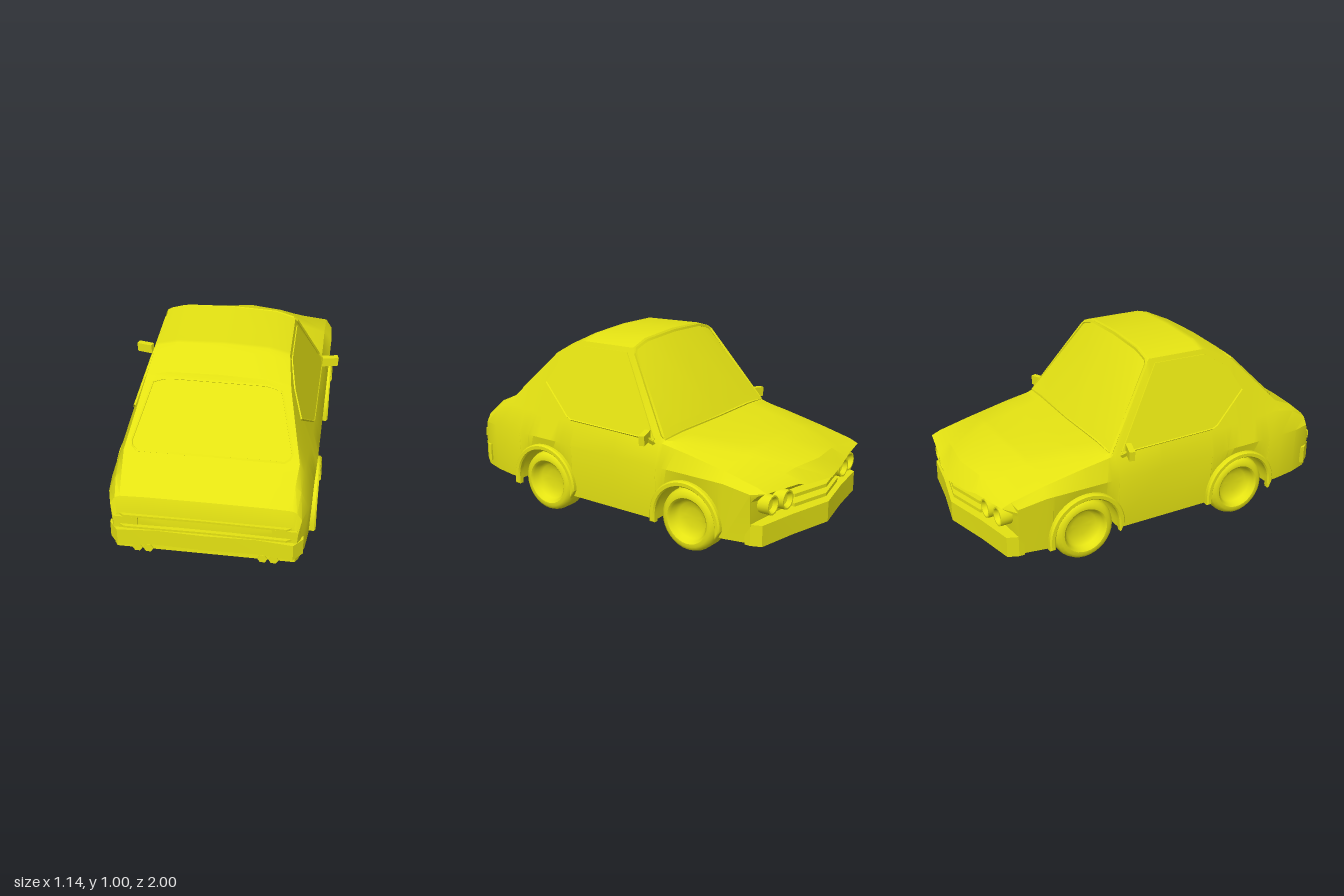
import * as THREE from 'three';
import { toCreasedNormals } from 'three/addons/utils/BufferGeometryUtils.js';

const V = (x, y, z) => new THREE.Vector3(x, y, z);

export function createModel() {
  const car = new THREE.Group();
  car.name = 'car';
  const paint = new THREE.MeshStandardMaterial({ color: 0xe4e212, side: THREE.DoubleSide });
  paint.name = 'yellow paint';
  const add = (name, geo, crease = 0.5) => {
    const mesh = new THREE.Mesh(toCreasedNormals(geo, crease), paint);
    mesh.name = name;
    car.add(mesh);
    return mesh;
  };

  const wheelZ = [0.48, -0.458], archR = 0.19, archY = 0.17;

  // Body stations: z, floor y, waist x, belt x, belt y, roof edge x, roof edge y, centre y, nose point
  const rows = [
    [0.975, 0.165, 0.455, 0.435, 0.38, 0.42, 0.39, 0.395, 0],
    [0.95, 0.163, 0.47, 0.445, 0.46, 0.42, 0.472, 0.478, 0],
    [0.86, 0.158, 0.495, 0.455, 0.52, 0.425, 0.55, 0.56, 0],
    [0.75, 0.15, 0.505, 0.46, 0.55, 0.435, 0.6, 0.61, 0],
    [0.5, 0.14, 0.51, 0.472, 0.54, 0.362, 0.865, 0.88, 0],
    [0.485, 0.14, 0.51, 0.473, 0.54, 0.36, 0.875, 0.905, 0],
    [0.33, 0.13, 0.51, 0.475, 0.54, 0.338, 0.95, 0.985, 0],
    [0, 0.13, 0.51, 0.475, 0.54, 0.335, 0.96, 1.003, 0],
    [-0.02, 0.13, 0.51, 0.475, 0.54, 0.338, 0.935, 0.978, 0],
    [-0.295, 0.13, 0.51, 0.472, 0.535, 0.455, 0.55, 0.562, 0.01],
    [-0.45, 0.13, 0.51, 0.47, 0.51, 0.38, 0.54, 0.55, 0.01],
    [-0.68, 0.13, 0.51, 0.465, 0.465, 0.31, 0.51, 0.53, 0.02],
    [-0.85, 0.14, 0.5, 0.465, 0.425, 0.26, 0.445, 0.46, 0.07],
    [-0.9, 0.14, 0.495, 0.465, 0.405, 0.25, 0.4, 0.375, 0.1],
  ];
  const lipReturn = [-0.85, 0.14, 0.49, 0.45, 0.385, 0.25, 0.375, 0.36, 0.06];

  const rowAt = (z) => {
    let i = 0;
    while (i < rows.length - 2 && rows[i + 1][0] > z) i++;
    const t = (z - rows[i][0]) / (rows[i + 1][0] - rows[i][0]);
    return rows[i].map((v, k) => v + (rows[i + 1][k] - v) * t);
  };

  // One closed cross-section, with the wheel wells notched into its lower corners
  const section = ([z, floor, w, bx, by, ex, ey, top, nose]) => {
    let sill = floor;
    for (const c of wheelZ) {
      const d = archR ** 2 - (z - c) ** 2;
      if (d > -1e-9) sill = archY + Math.sqrt(Math.max(d, 0));
    }
    const half = [
      [0, floor], [0.33, floor], [0.33, sill], [w - 0.012, sill], [w, Math.min(0.42, by - 0.03)],
      [bx, by], [ex, ey], [ex * 0.7, ey + (top - ey) * 0.75], [0, top],
    ].map(([x, y], j) => V(x, y, j < 5 ? Math.max(z, -0.83) : z - nose * (1 - x / 0.47)));
    const mirrored = half.slice(1, -1).reverse().map((p) => V(-p.x, p.y, p.z));
    return [...half, ...mirrored];
  };

  const zs = rows.map((r) => r[0]);
  for (const c of wheelZ) {
    zs.push(c + archR + 0.001, c - archR - 0.001);
    for (let k = 0; k <= 14; k++) zs.push(c + archR * Math.cos((k / 14) * Math.PI));
  }
  zs.sort((a, b) => b - a);
  const rings = zs.map((z) => section(rowAt(z)));
  rings.push(section(lipReturn));

  // Skin the sections and close both ends
  const pos = [];
  const tri = (...ps) => ps.forEach((p) => pos.push(p.x, p.y, p.z));
  const n = rings[0].length, last = rings[rings.length - 1];
  const rearMid = V(0, 0.28, 0.965), frontMid = V(0, 0.28, -0.86);
  for (let j = 0; j < n; j++) {
    const k = (j + 1) % n;
    for (let i = 0; i < rings.length - 1; i++) {
      const a = rings[i][j], b = rings[i][k], c = rings[i + 1][k], d = rings[i + 1][j];
      tri(a, d, c);
      tri(a, c, b);
    }
    tri(rearMid, rings[0][j], rings[0][k]);
    tri(frontMid, last[k], last[j]);
  }
  const bodyGeo = new THREE.BufferGeometry();
  bodyGeo.setAttribute('position', new THREE.Float32BufferAttribute(pos, 3));
  add('body', bodyGeo, 0.45);

  // Symmetric bar from a half outline in plan (x, z), spanning y0 to y1
  const planBar = (name, outer, back, y0, y1) => {
    const pts = [
      ...outer.map(([x, z]) => [-x, z]).reverse(), ...outer.slice(outer[0][0] === 0 ? 1 : 0),
      [outer[outer.length - 1][0], back], [-outer[outer.length - 1][0], back],
    ].map(([x, z]) => new THREE.Vector2(x, -z));
    const g = new THREE.ExtrudeGeometry(new THREE.Shape(pts), { depth: y1 - y0, bevelEnabled: false });
    g.rotateX(-Math.PI / 2).translate(0, y0, 0);
    return add(name, g, 0.3);
  };
  planBar('frontBumper', [[0, -0.985], [0.25, -0.925], [0.47, -0.885], [0.492, -0.83]], -0.8, 0.13, 0.24);
  planBar('rearBumper', [[0, 0.985], [0.25, 0.978], [0.435, 0.995], [0.48, 0.94]], 0.92, 0.195, 0.29);
  for (const y of [0.265, 0.315]) {
    planBar('grilleBar', [[0, -0.97], [0.22, -0.915]], -0.82, y, y + 0.018);
  }
  for (const y of [0.303, 0.375]) {
    planBar('rearTrim', [[0, 0.985], [0.4, 0.99], [0.452, 0.955]], 0.93, y, y + 0.012);
  }

  // Flat plate whose outline (u, v) and thickness are placed by a rule
  const plate = (name, outline, place) => {
    const g = new THREE.ExtrudeGeometry(
      new THREE.Shape(outline.map((p) => new THREE.Vector2(...p))), { depth: 0.007, bevelEnabled: false });
    const p = g.attributes.position;
    for (let i = 0; i < p.count; i++) p.setXYZ(i, ...place(p.getX(i), p.getY(i), p.getZ(i)));
    return add(name, g, 0.3);
  };
  const trim = (name, points, r, closed = false) => {
    const curve = new THREE.CatmullRomCurve3(points, closed, 'catmullrom', 0);
    return add(name, new THREE.TubeGeometry(curve, points.length * 8, r, 4, closed), 0.3);
  };

  // Rear window
  const rearOutline = [[-0.37, 0.605], [0.37, 0.605], [0.4, 0.63], [0.32, 0.86], [0.25, 0.875],
    [-0.25, 0.875], [-0.32, 0.86], [-0.4, 0.63]];
  const rearZ = (y) => 0.5 + (0.88 - y) * 0.926;
  plate('rearWindow', rearOutline, (x, y, d) => [x, y, rearZ(y) + d - 0.002]);
  trim('rearWindowTrim', rearOutline.map(([x, y]) => V(x, y, rearZ(y))), 0.007, true);

  // Windscreen surround
  trim('windscreenSurround', [V(-0.458, 0.548, -0.29), V(-0.336, 0.95, -0.012), V(-0.236, 0.98, -0.012),
    V(0, 0.99, -0.012), V(0.236, 0.98, -0.012), V(0.336, 0.95, -0.012), V(0.458, 0.548, -0.29),
    V(0.32, 0.56, -0.295), V(0, 0.562, -0.305), V(-0.32, 0.56, -0.295)], 0.009, true);

  const sideOutline = [[-0.24, 0.545], [0.33, 0.55], [0.53, 0.71], [0.46, 0.84], [0.33, 0.925], [0.03, 0.935]];
  const sideX = (y) => 0.475 - (y - 0.54) * 0.333;

  for (const s of [1, -1]) {
    plate('sideWindow', sideOutline, (z, y, d) => [s * (sideX(y) + d - 0.002), y, z]);
    trim('windowSill', sideOutline.slice(0, 3).map(([z, y]) => V(s * sideX(y), y, z)), 0.008);

    // Door mirror
    const head = add('mirror', new THREE.BoxGeometry(0.09, 0.052, 0.03));
    head.position.set(s * 0.52, 0.565, -0.215);
    head.rotation.set(0, s * 0.3, -s * 0.08);
    trim('mirrorArm', [V(s * 0.46, 0.52, -0.24), V(s * 0.505, 0.555, -0.22)], 0.013);

    // Wheels and arch flares
    for (const z of wheelZ) {
      const profile = [[0, 0.36], [0.14, 0.36], [0.16, 0.365], [0.1665, 0.385], [0.1665, 0.46], [0.158, 0.483],
        [0.14, 0.496], [0.122, 0.496], [0.11, 0.485], [0.103, 0.46], [0.085, 0.445], [0.05, 0.437], [0, 0.435]];
      const tyre = new THREE.LatheGeometry(profile.map((p) => new THREE.Vector2(...p)), 32);
      tyre.rotateZ(-s * Math.PI / 2);
      add('wheel', tyre, 0.7).position.set(0, 0.1665, z);

      const flare = new THREE.Shape();
      flare.moveTo(0.208, -0.04);
      flare.absarc(0, 0, 0.208, 0, Math.PI, false);
      flare.lineTo(-0.208, -0.04);
      flare.lineTo(-archR, -0.04);
      flare.absarc(0, 0, archR, Math.PI, 0, true);
      flare.lineTo(archR, -0.04);
      const fg = new THREE.ExtrudeGeometry(flare, {
        depth: 0.025, bevelThickness: 0.008, bevelSize: 0.007, bevelSegments: 1, curveSegments: 16 });
      fg.rotateY(s * Math.PI / 2);
      add('archFlare', fg).position.set(s * 0.494, archY, z);
    }

    // Paired headlamps, tail lamp and paired exhausts
    for (const [x, z] of [[0.285, -0.915], [0.39, -0.895]]) {
      const cup = [[0, 0.03], [0.03, 0.022], [0.042, 0], [0.05, 0], [0.05, 0.07]];
      const lamp = new THREE.LatheGeometry(cup.map((p) => new THREE.Vector2(...p)), 16);
      lamp.rotateX(Math.PI / 2);
      add('headlamp', lamp).position.set(s * x, 0.322, z);
    }
    const tail = add('tailLamp', new THREE.BoxGeometry(0.12, 0.045, 0.04));
    tail.position.set(s * 0.39, 0.348, 0.965);
    for (const x of [0.285, 0.34]) {
      const pipe = new THREE.CylinderGeometry(0.025, 0.025, 0.18, 6);
      pipe.rotateY(Math.PI / 2).rotateX(Math.PI / 2);
      add('exhaust', pipe, 0.1).position.set(s * x, 0.17, 0.89);
    }
  }
  return car;
}
